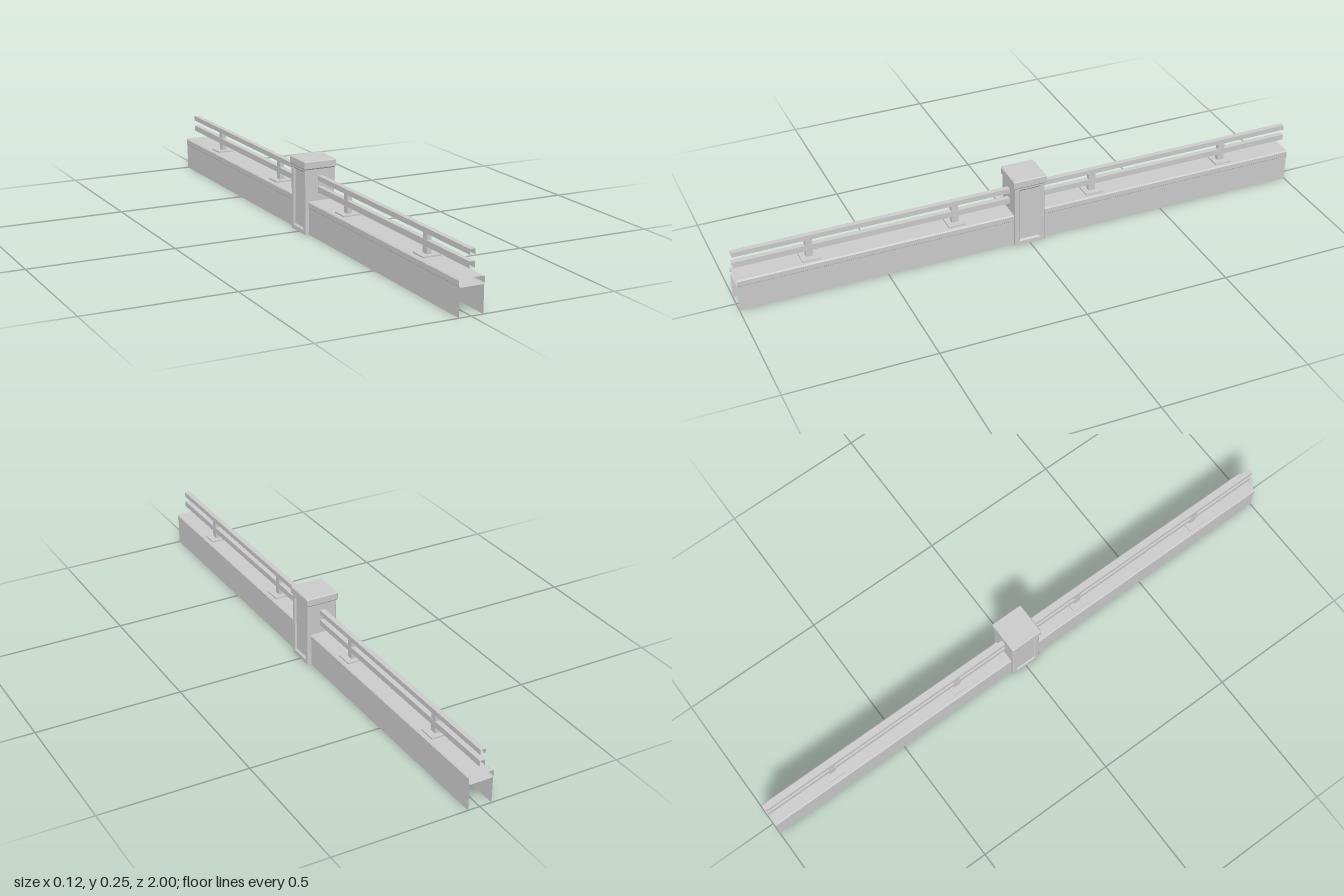
import * as THREE from 'three';

const material = new THREE.MeshStandardMaterial({ color: 0xcccccc, flatShading: true, side: THREE.DoubleSide });

function add(parent, name, geometry, x = 0, y = 0, z = 0) {
  const mesh = new THREE.Mesh(geometry, material);
  mesh.name = name;
  mesh.position.set(x, y, z);
  parent.add(mesh);
  return mesh;
}

// Skin between successive loops of [x, y, z] points, ends left open
function loft(loops, closed = true) {
  const pos = [];
  for (let i = 0; i + 1 < loops.length; i++) {
    const a = loops[i], b = loops[i + 1], n = a.length;
    for (let j = 0; j < (closed ? n : n - 1); j++) {
      const k = (j + 1) % n;
      pos.push(...a[j], ...a[k], ...b[k], ...a[j], ...b[k], ...b[j]);
    }
  }
  const geometry = new THREE.BufferGeometry();
  geometry.setAttribute('position', new THREE.Float32BufferAttribute(pos, 3));
  geometry.computeVertexNormals();
  return geometry;
}

// Counter-clockwise rectangle with cut corners
function cutRect(w, y0, y1, c) {
  return [[w - c, y0], [w, y0 + c], [w, y1 - c], [w - c, y1],
    [-w + c, y1], [-w, y1 - c], [-w, y0 + c], [-w + c, y0]];
}
const rect = (w, y0, y1) => [[w, y0], [w, y1], [-w, y1], [-w, y0]];

// Sweep an xy profile along z
const sweep = (profile, z0, z1, closed = true) =>
  loft([z0, z1].map(z => profile.map(([x, y]) => [x, y, z])), closed);

// One half of the wall with its railing, running from the pillar to +z
function wallSection() {
  const section = new THREE.Group();
  section.name = 'wallSection';
  const z0 = 0.053, z1 = 1;

  // Thin side panels, open underneath and at the end
  for (const s of [-1, 1]) {
    const x = s * 0.041;
    const ends = s > 0 ? [[x, 0], [x, 0.092]] : [[x, 0.092], [x, 0]];
    add(section, 'wallSide', sweep(ends, z0, z1, false));
  }
  // Coping with softened edges
  add(section, 'coping', sweep(cutRect(0.0435, 0.09, 0.115, 0.004), z0, z1));

  // Two hollow rails
  add(section, 'topRail', sweep(rect(0.009, 0.183, 0.2), z0, z1));
  add(section, 'lowerRail', sweep(rect(0.009, 0.143, 0.163), z0, z1));

  // Posts on base plates
  for (const z of [0.25, 0.75]) {
    add(section, 'railPost', new THREE.BoxGeometry(0.016, 0.107, 0.024), 0, 0.1435, z);
    add(section, 'postPlate', new THREE.BoxGeometry(0.06, 0.02, 0.06), 0, 0.11, z);
  }
  return section;
}

function pillar() {
  const group = new THREE.Group();
  group.name = 'pillar';
  const w = 0.054, c = 0.003, top = 0.228;

  for (const s of [0, 1]) {
    const side = new THREE.Group();
    side.name = 'pillarSide';
    side.rotation.y = s * Math.PI;
    // Plain face with its two cut corners
    const face = [[w, w - c], [w - c, w], [-w + c, w], [-w, w - c]];
    add(side, 'pillarFace', loft([top, 0].map(y => face.map(([x, z]) => [x, y, z])), false));
    // Frame stepping in to a recessed panel
    const ring = (x, hw, y0, y1) => [[x, y0, hw], [x, y0, -hw], [x, y1, -hw], [x, y1, hw]];
    add(side, 'pillarPanel', loft([
      ring(w, w - c, 0, top),
      ring(w, 0.039, 0.014, 0.216),
      ring(w - 0.005, 0.034, 0.02, 0.21),
      ring(w - 0.005, 0, 0.115, 0.115),
    ]));
    group.add(side);
  }

  // Cap with cut edges all round
  const layer = (y, h) => {
    const k = 0.003;
    return cutRect(h, -h, h, k).map(([x, z]) => [x, y, -z]);
  };
  add(group, 'pillarCap', loft([
    layer(0.223, 0.05), layer(0.223, 0.055), layer(0.227, 0.0585),
    layer(0.249, 0.0585), layer(0.252, 0.056), layer(0.252, 0.004),
  ]));
  add(group, 'pillarCapTop', new THREE.BoxGeometry(0.02, 0.002, 0.02), 0, 0.251, 0);
  return group;
}

export function createModel() {
  const model = new THREE.Group();
  model.name = 'wallWithRailing';
  model.add(pillar());
  for (const turn of [0, Math.PI]) {
    const section = wallSection();
    section.rotation.y = turn;
    model.add(section);
  }
  return model;
}
